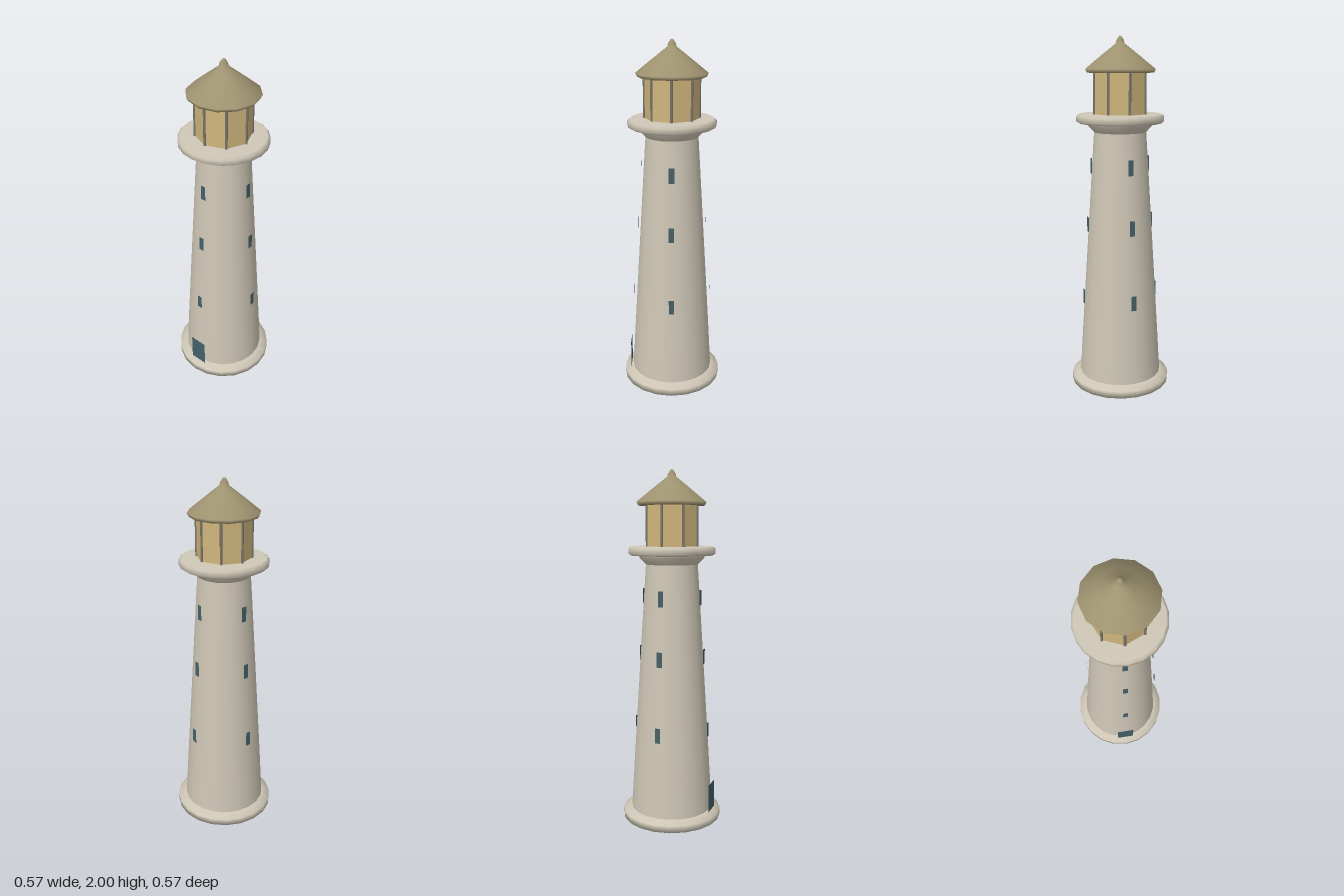
import * as THREE from 'three';

const material = (name, color, extra = {}) => {
  const m = new THREE.MeshStandardMaterial({ color, ...extra });
  m.name = name;
  return m;
};

export function createModel() {
  const group = new THREE.Group();
  const stone = material('stone', 0xcfc7b6);
  const roofing = material('roofing', 0x9e9370);
  const glass = material('lantern glass', 0xd0b67c);
  const metal = material('lantern metal', 0x7c7870);
  const panes = material('door and panes', 0x446068, { side: THREE.DoubleSide });

  const add = (name, geometry, mat, parent = group) => {
    const mesh = new THREE.Mesh(geometry, mat);
    mesh.name = name;
    parent.add(mesh);
    return mesh;
  };
  // Profiles run from bottom to top as [radius, height]
  const lathe = (name, profile, sides, mat) =>
    add(name, new THREE.LatheGeometry(profile.map(([r, y]) => new THREE.Vector2(r, y)), sides), mat);

  // Plinth, tapering tower and gallery
  lathe('plinth', [[0, 0], [0.285, 0], [0.285, 0.04], [0.24, 0.058], [0.2, 0.06]], 20, stone);
  lathe('tower', [[0.237, 0.055], [0.222, 0.3], [0.206, 0.55], [0.19, 0.8], [0.174, 1.05],
    [0.158, 1.3], [0.146, 1.48]], 20, stone);
  lathe('corbel', [[0.146, 1.48], [0.183, 1.518], [0.183, 1.54]], 20, stone);
  lathe('gallery', [[0, 1.53], [0.23, 1.53], [0.245, 1.54], [0.245, 1.568], [0.23, 1.58], [0, 1.58]], 20, stone);

  // Eight-sided lantern with a post at each corner
  const lantern = new THREE.CylinderGeometry(0.15, 0.15, 0.24, 8).toNonIndexed();
  lantern.computeVertexNormals();
  add('lanternGlass', lantern, glass).position.y = 1.695;
  const posts = new THREE.Group();
  posts.name = 'lanternPosts';
  group.add(posts);
  for (let i = 0; i < 8; i++) {
    const a = (i * Math.PI) / 4;
    add('lanternPost', new THREE.CylinderGeometry(0.007, 0.007, 0.24, 6), metal, posts)
      .position.set(0.15 * Math.sin(a), 1.695, 0.15 * Math.cos(a));
  }

  // Conical roof with eave and finial
  lathe('roof', [[0, 1.803], [0.187, 1.803], [0.197, 1.822], [0.11, 1.892], [0.025, 1.958],
    [0.021, 1.975], [0.009, 1.993], [0, 2]], 12, roofing);

  // Door, and three windows on each of the four sides
  add('door', new THREE.PlaneGeometry(0.104, 0.165), panes).position.set(0, 0.138, 0.247);
  for (let side = 0; side < 4; side++) {
    const column = new THREE.Group();
    column.name = 'windowColumn';
    column.rotation.y = (side * Math.PI) / 2;
    group.add(column);
    for (const [y, z] of [[0.54, 0.222], [0.965, 0.194], [1.298, 0.171]]) {
      add('window', new THREE.PlaneGeometry(0.03, 0.086), panes, column).position.set(0, y, z);
    }
  }
  return group;
}
